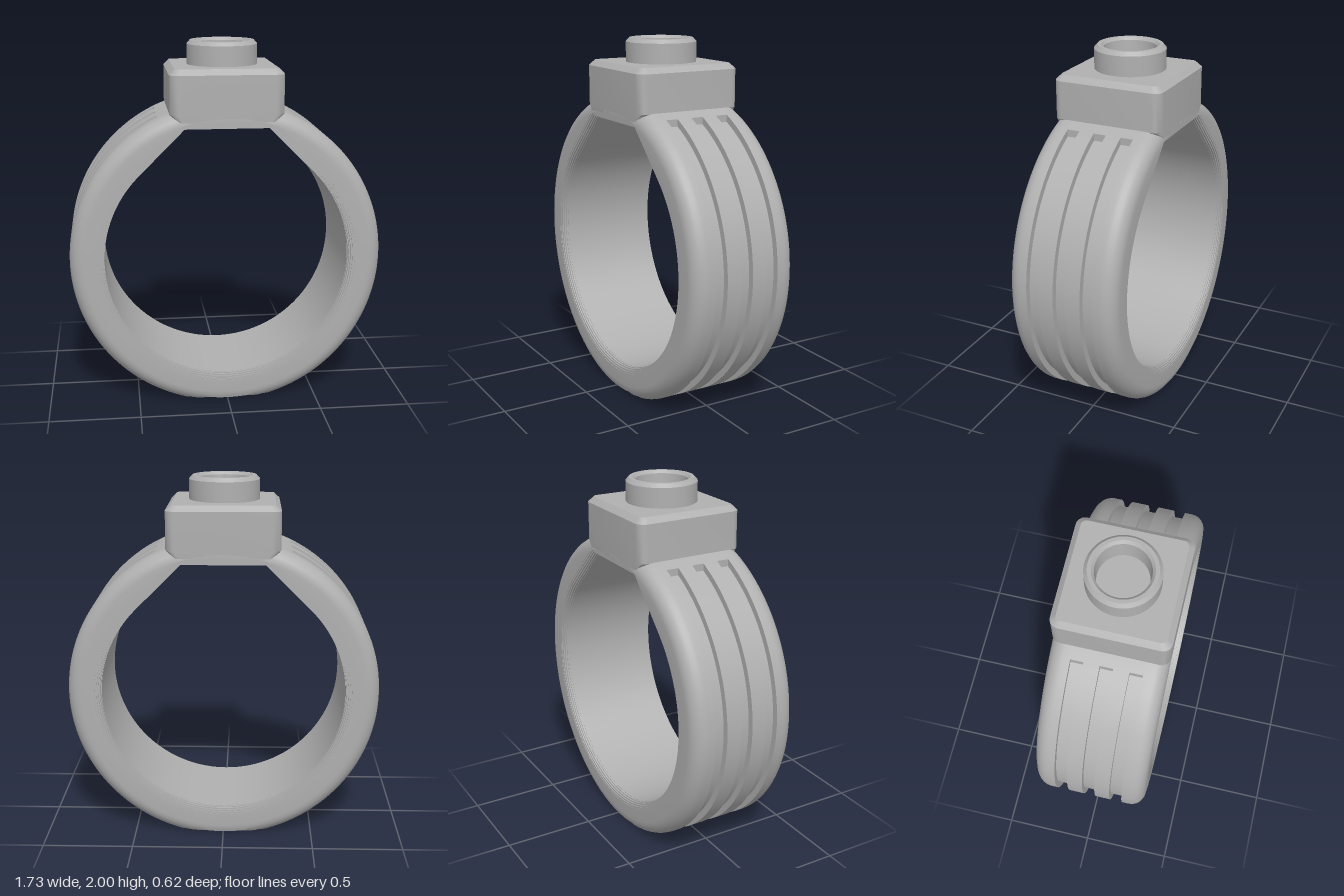
import * as THREE from 'three';
import { toCreasedNormals } from 'three/addons/utils/BufferGeometryUtils.js';

const CY = 0.825;        // height of the ring centre
const R_OUT = 0.865, R_IN = 0.675, R_GROOVE = 0.83;
const HALF = 0.31;       // half width of the band
const GROOVE_X = 0.375;  // grooves stop at this distance from the middle

// Skin a list of sections; each section is a closed loop of points.
function loft(sections, { closed = false, caps = false } = {}) {
  const pos = [];
  const tri = (...pts) => pts.forEach((p) => pos.push(...p));
  const n = sections[0].length, m = sections.length;
  for (let i = 0; i < (closed ? m : m - 1); i++) {
    const s = sections[i], t = sections[(i + 1) % m];
    for (let j = 0; j < n; j++) {
      const k = (j + 1) % n;
      tri(s[j], t[j], t[k]);
      tri(s[j], t[k], s[k]);
    }
  }
  if (caps) {
    const low = sections[0], top = sections[m - 1];
    for (let j = 0; j < n; j++) {
      const k = (j + 1) % n;
      tri([0, top[0][1], 0], top[k], top[j]);
      tri([0, low[0][1], 0], low[j], low[k]);
    }
  }
  const g = new THREE.BufferGeometry();
  g.setAttribute('position', new THREE.Float32BufferAttribute(pos, 3));
  return toCreasedNormals(g, 0.5);
}

// Finger hole: a circle with 45 degree tangents up to a flat roof.
function holeRadius(a) {
  const s = Math.sin(a);
  const up = Math.asin(Math.min(1, Math.abs(s)));
  if (s <= 0 || up < Math.PI / 4) return R_IN;
  return Math.min(R_IN / Math.cos(up - Math.PI / 4), 0.725 / s);
}

// One cross-section of the band at angle a.
function bandSection(a) {
  const c = Math.cos(a), s = Math.sin(a), pts = [];
  const flat = s < 0 ? CY / -s : Infinity; // flat foot at y = 0
  const add = (r, z) => pts.push([r * c, CY + r * s, z]);
  const outer = (r, z) => add(Math.min(r, flat), z);
  const fillet = 0.08, n = 6;
  for (let i = 0; i <= n; i++) {
    const t = (i / n) * Math.PI / 2;
    outer(R_OUT - fillet * (1 - Math.sin(t)), -HALF + fillet * (1 - Math.cos(t)));
  }
  const floor = THREE.MathUtils.clamp(GROOVE_X / Math.max(Math.abs(c), 1e-6), R_GROOVE, R_OUT);
  for (const z of [-0.155, 0, 0.155]) {
    outer(R_OUT, z - 0.035);
    outer(floor, z - 0.035);
    outer(floor, z + 0.035);
    outer(R_OUT, z + 0.035);
  }
  for (let i = n; i >= 0; i--) {
    const t = (i / n) * Math.PI / 2;
    outer(R_OUT - fillet * (1 - Math.sin(t)), HALF - fillet * (1 - Math.cos(t)));
  }
  // Finely stepped rounding on both rims of the hole
  const ri = holeRadius(a), step = 0.05, k = 6, rim = [];
  for (let i = 0; i < k; i++) {
    const t0 = (i / k) * Math.PI / 2, t1 = ((i + 1) / k) * Math.PI / 2;
    const r = ri + step * (1 - Math.sin(t1));
    rim.push([r, HALF - step * (1 - Math.cos(t0))], [r, HALF - step * (1 - Math.cos(t1))]);
  }
  rim.forEach(([r, z]) => add(r, z));
  rim.reverse().forEach(([r, z]) => add(r, -z));
  return pts;
}

function bandGeometry() {
  // Even spacing plus the exact angles where the shape changes
  const angles = [];
  for (let i = 0; i < 180; i++) angles.push((i / 180) * Math.PI * 2);
  const keys = [Math.acos(GROOVE_X / R_OUT), Math.acos(GROOVE_X / R_GROOVE),
    Math.asin(CY / R_OUT), Math.atan2(0.725, 0.23)];
  for (const k of keys) angles.push(k, Math.PI - k, Math.PI + k, Math.PI * 2 - k);
  angles.sort((p, q) => p - q);
  return loft(angles.map(bandSection), { closed: true });
}

// Horizontal rounded rectangle.
function roundedRect(y, hx, hz, r) {
  const pts = [];
  for (let q = 0; q < 4; q++) {
    const sx = q === 0 || q === 3 ? 1 : -1, sz = q < 2 ? 1 : -1;
    for (let i = 0; i <= 6; i++) {
      const t = (q + i / 6) * Math.PI / 2;
      pts.push([sx * (hx - r) + r * Math.cos(t), y, sz * (hz - r) + r * Math.sin(t)]);
    }
  }
  return pts;
}

export function createModel() {
  const model = new THREE.Group();
  model.name = 'ring';
  const metal = new THREE.MeshStandardMaterial({ color: 0xb0b0b0 });
  metal.name = 'grey';
  const part = (name, geometry) => {
    const mesh = new THREE.Mesh(geometry, metal);
    mesh.name = name;
    model.add(mesh);
  };

  part('groovedBand', bandGeometry());

  // Square head, chamfered above and below
  part('squareHead', loft([
    roundedRect(1.555, 0.235, 0.26, 0.03),
    roundedRect(1.59, 0.27, HALF, 0.03),
    roundedRect(1.63, 0.31, HALF, 0.05),
    roundedRect(1.84, 0.31, HALF, 0.05),
    roundedRect(1.87, 0.28, 0.28, 0.03),
  ], { caps: true }));

  // Round hollow socket on the head
  const profile = [[0.195, 1.86], [0.195, 1.98], [0.177, 2], [0.157, 2],
    [0.143, 1.985], [0.135, 1.873], [0, 1.873]].map(([x, y]) => new THREE.Vector2(x, y));
  part('socket', toCreasedNormals(new THREE.LatheGeometry(profile, 64), 0.5));

  return model;
}
